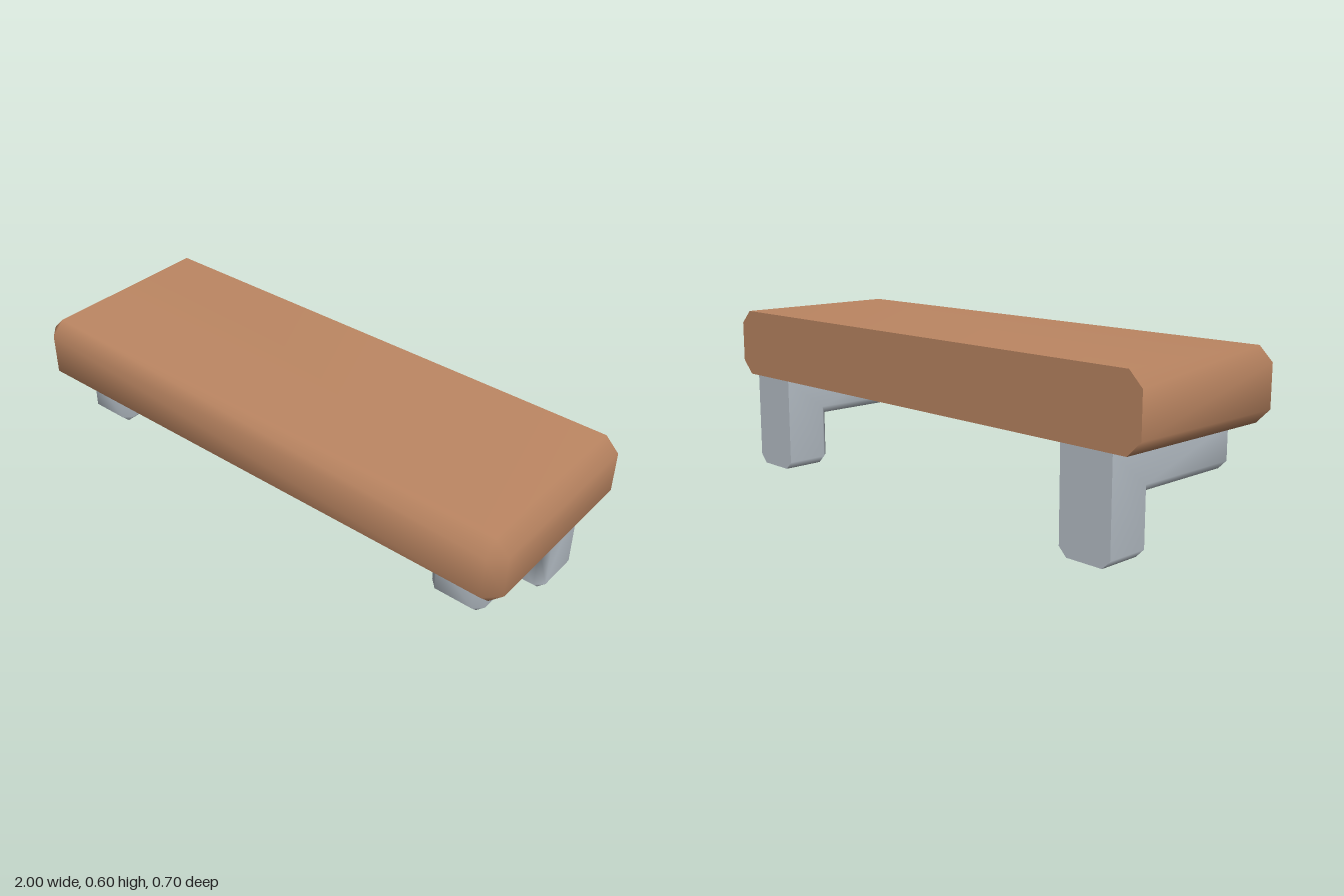
import * as THREE from 'three';
import { mergeVertices, mergeGeometries } from 'three/addons/utils/BufferGeometryUtils.js';

// Smooth indexed geometry from a flat list of triangle corners
function smooth(corners) {
  const g = new THREE.BufferGeometry();
  g.setAttribute('position', new THREE.Float32BufferAttribute(corners.flat(), 3));
  const merged = mergeVertices(g);
  merged.computeVertexNormals();
  return merged;
}

// Bevelled solid: a [z, y] outline lofted along x, narrowing to the inset outline
// at both ends. Outlines run back-top, front, back-bottom; the back stays sharp.
function bevelledSolid(outer, inset, halfWidth, bevel, openTop = false) {
  const rings = [
    [-halfWidth, inset], [-halfWidth + bevel, outer],
    [halfWidth - bevel, outer], [halfWidth, inset],
  ].map(([x, outline]) => outline.map(([z, y]) => [x, y, z]));
  const body = [];
  const back = [];
  const n = outer.length;
  for (let r = 0; r < 3; r++) {
    for (let i = openTop ? 1 : 0; i < n; i++) {
      const j = (i + 1) % n;
      const a = rings[r][i], b = rings[r][j], c = rings[r + 1][j], d = rings[r + 1][i];
      (i === n - 1 ? back : body).push(a, b, c, a, c, d);
    }
  }
  // End faces, without the doubled corner points
  const cap = inset
    .filter((p, i) => i === 0 || p[0] !== inset[i - 1][0] || p[1] !== inset[i - 1][1])
    .map(([z, y]) => new THREE.Vector2(z, y));
  for (const tri of THREE.ShapeUtils.triangulateShape(cap, [])) {
    let [p, q, s] = tri.map((k) => cap[k]);
    const area = (q.x - p.x) * (s.y - p.y) - (q.y - p.y) * (s.x - p.x);
    if (area > 0) [q, s] = [s, q];
    for (const v of [p, q, s]) body.push([halfWidth, v.y, v.x]);
    for (const v of [p, s, q]) body.push([-halfWidth, v.y, v.x]);
  }
  return mergeGeometries([smooth(body), smooth(back)]);
}

export function createModel() {
  const group = new THREE.Group();
  const wood = new THREE.MeshStandardMaterial({ name: 'wood', color: 0xbd8763 });
  const metal = new THREE.MeshStandardMaterial({ name: 'paleMetal', color: 0xbac3cb });

  // Thick board with bevelled front and ends
  const board = new THREE.Mesh(bevelledSolid(
    [[-0.35, 0.6], [0.3, 0.6], [0.35, 0.55], [0.35, 0.4], [0.3, 0.35], [-0.35, 0.35]],
    [[-0.35, 0.55], [0.3, 0.55], [0.3, 0.55], [0.3, 0.4], [0.3, 0.4], [-0.35, 0.4]],
    1, 0.05), wood);
  board.name = 'board';
  group.add(board);

  // L-shaped brackets under both ends
  const bracketGeometry = bevelledSolid(
    [[-0.35, 0.35], [0.25, 0.35], [0.25, 0.23], [0.22, 0.2], [-0.163, 0.2],
      [-0.163, 0.03], [-0.193, 0], [-0.35, 0]],
    [[-0.35, 0.35], [0.22, 0.35], [0.22, 0.23], [0.22, 0.23], [-0.193, 0.23],
      [-0.193, 0.03], [-0.193, 0.03], [-0.35, 0.03]],
    0.1, 0.03, true);
  for (const [name, x] of [['leftBracket', 0.8], ['rightBracket', -0.8]]) {
    const bracket = new THREE.Mesh(bracketGeometry, metal);
    bracket.name = name;
    bracket.position.x = x;
    group.add(bracket);
  }
  return group;
}
